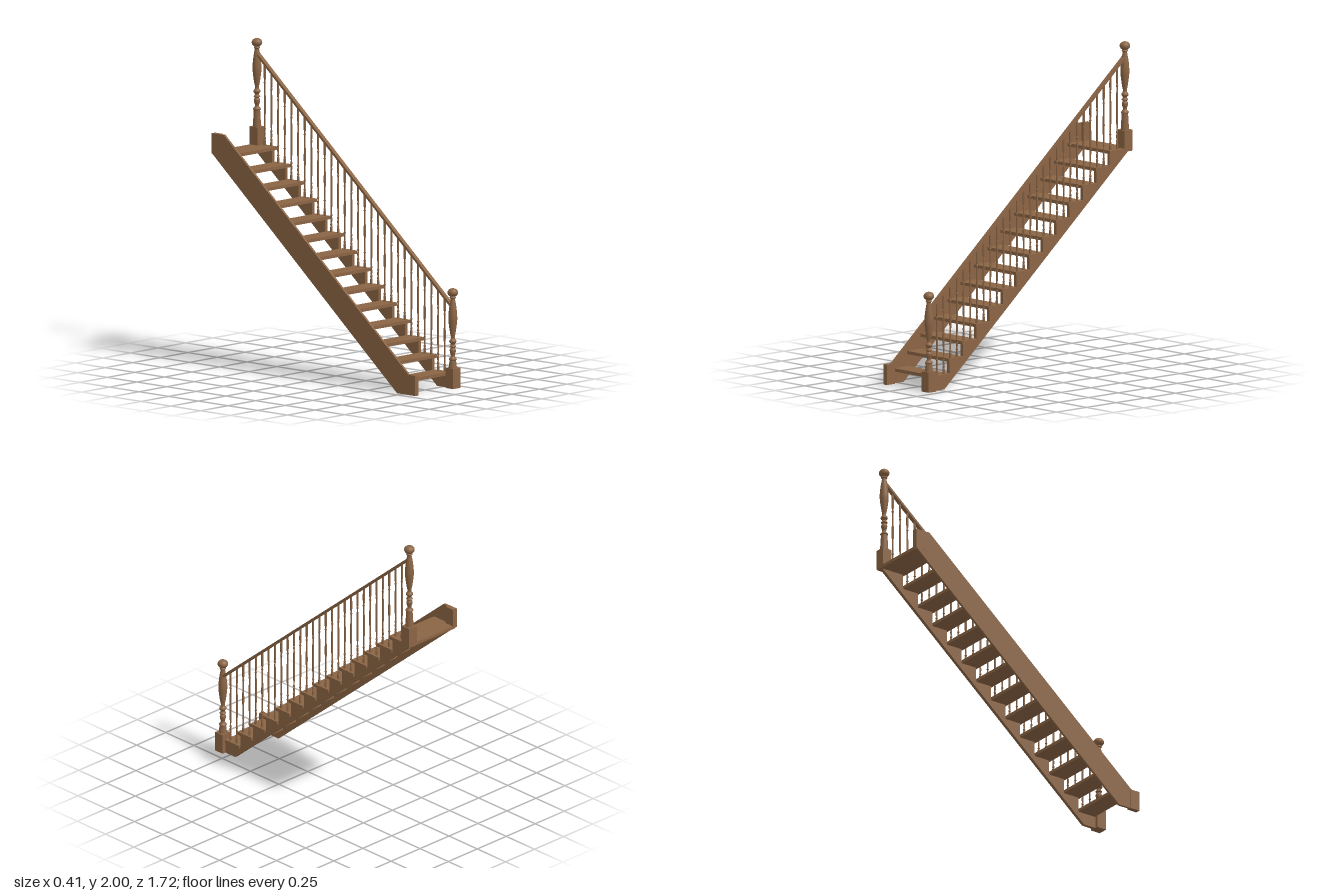
import * as THREE from 'three';

const STEPS = 14, RISE = 0.0953, RUN = 0.1123;
const FRONT = 0.787, BACK = -0.855, THICK = 0.02;
const SLOPE = RISE / RUN;
const RAIL_X = 0.17;

const wood = new THREE.MeshStandardMaterial({ color: 0x8b6545 });

const treadFront = i => FRONT - i * RUN;
const treadTop = i => 0.095 + i * RISE;
const railY = z => 0.522 + SLOPE * (0.81 - z);

function add(parent, name, geometry, x = 0, y = 0, z = 0) {
  const mesh = new THREE.Mesh(geometry, wood);
  mesh.name = name;
  mesh.position.set(x, y, z);
  parent.add(mesh);
  return mesh;
}

// Box given by its limits
function block(parent, name, x0, x1, y0, y1, z0, z1) {
  return add(parent, name, new THREE.BoxGeometry(x1 - x0, y1 - y0, z1 - z0),
    (x0 + x1) / 2, (y0 + y1) / 2, (z0 + z1) / 2);
}

// Side plate from [z, y] points, spanning x0 to x1
function plate(parent, name, points, x0, x1) {
  const shape = new THREE.Shape(points.map(([z, y]) => new THREE.Vector2(-z, y)));
  const geometry = new THREE.ExtrudeGeometry(shape, { depth: x1 - x0, bevelEnabled: false });
  geometry.rotateY(Math.PI / 2);
  return add(parent, name, geometry, x0);
}

// Turned part from [radius, height] points, smoothed by a spline
function turned(points, samples, sides) {
  const curve = new THREE.SplineCurve(points.map(([r, y]) => new THREE.Vector2(r, y)));
  const profile = curve.getPoints(samples);
  profile.forEach(p => { p.x = Math.max(p.x, 0); });
  return new THREE.LatheGeometry(profile, sides);
}

// Newel post: square base, tapered column, turned vase and ball
function newel(name, baseY, topY, columnHeight, z) {
  const post = new THREE.Group();
  post.name = name;
  block(post, 'newelBase', 0.138, 0.204, baseY, topY, z - 0.033, z + 0.033);
  add(post, 'newelColumn', new THREE.CylinderGeometry(0.02, 0.026, columnHeight, 20),
    RAIL_X, topY + columnHeight / 2, z);
  const shaft = [
    [0.019, 0], [0.025, 0.007], [0.019, 0.015], [0.013, 0.024], [0.013, 0.034],
    [0.018, 0.05], [0.019, 0.066], [0.013, 0.078], [0.021, 0.086], [0.014, 0.095],
    [0.014, 0.104], [0.022, 0.114], [0.021, 0.124], [0.013, 0.135], [0.013, 0.15],
    [0.018, 0.175], [0.025, 0.225], [0.028, 0.265], [0.024, 0.32], [0.017, 0.365],
    [0.014, 0.385], [0.02, 0.392], [0.014, 0.402]
  ];
  add(post, 'newelShaft', turned(shaft, 88, 20), RAIL_X, topY + columnHeight, z);
  const ball = add(post, 'newelBall', new THREE.SphereGeometry(0.033, 24, 16),
    RAIL_X, topY + columnHeight + 0.424, z);
  ball.scale.y = 0.82;
  return post;
}

export function createModel() {
  const stairs = new THREE.Group();
  stairs.name = 'staircase';

  // Treads, the last one deeper as a landing
  const treads = new THREE.Group();
  treads.name = 'treads';
  for (let i = 0; i < STEPS; i++) {
    const last = i === STEPS - 1;
    const top = treadTop(i), front = treadFront(i);
    block(treads, last ? 'landingTread' : 'tread', -0.195, last ? 0.2 : 0.191,
      top - THICK, top, last ? BACK : front - 0.125, front);
  }
  stairs.add(treads);

  // Closed stringer on the wall side
  plate(stairs, 'closedStringer', [
    [0.8, 0], [0.705, 0], [BACK, 1.322], [BACK, 1.447], [-0.755, 1.447], [0.8, 0.127]
  ], -0.206, -0.19);

  // Sawtooth stringer on the rail side, cut below every tread
  const cut = [[BACK, 1.322], [0.705, 0], [0.8, 0]];
  for (let i = 0; i < STEPS; i++) {
    const under = treadTop(i) - THICK / 2;
    cut.push([i ? treadFront(i) - 0.014 : 0.8, under]);
    cut.push([i < STEPS - 1 ? treadFront(i + 1) - 0.014 : BACK, under]);
  }
  plate(stairs, 'cutStringer', cut, 0.158, 0.18);

  // Half posts on the wall side
  block(stairs, 'lowerHalfPost', -0.207, -0.175, 0, 0.127, 0.793, 0.859);
  block(stairs, 'upperHalfPost', -0.207, -0.175, 1.32, 1.447, -0.857, -0.791);

  // Newel posts
  stairs.add(newel('lowerNewel', 0, 0.127, 0.047, 0.826));
  stairs.add(newel('upperNewel', 1.32, 1.447, 0.102, -0.824));

  // Balusters, two per tread, stretched to meet the rail
  const baluster = turned([
    [0.0075, 0], [0.0075, 0.06], [0.0045, 0.075], [0.008, 0.09], [0.0045, 0.11],
    [0.006, 0.15], [0.0045, 0.19], [0.008, 0.205], [0.0045, 0.22], [0.005, 0.3],
    [0.0065, 0.45], [0.006, 0.6], [0.0045, 0.74], [0.008, 0.76], [0.0045, 0.78],
    [0.007, 0.83], [0.0065, 1]
  ], 48, 10);
  const balusters = new THREE.Group();
  balusters.name = 'balusters';
  for (let i = 0; i < 2 * STEPS; i++) {
    const z = 0.758 - i * RUN / 2;
    const foot = treadTop(Math.floor(i / 2));
    add(balusters, 'baluster', baluster, RAIL_X, foot, z).scale.y = railY(z) - foot;
  }
  stairs.add(balusters);

  // Sloping handrail
  const z0 = 0.815, z1 = -0.82;
  const length = Math.hypot(z0 - z1, railY(z1) - railY(z0));
  const rail = add(stairs, 'handrail', new THREE.BoxGeometry(0.028, 0.015, length),
    RAIL_X, (railY(z0) + railY(z1)) / 2, (z0 + z1) / 2);
  rail.rotation.x = Math.atan(SLOPE);

  return stairs;
}
